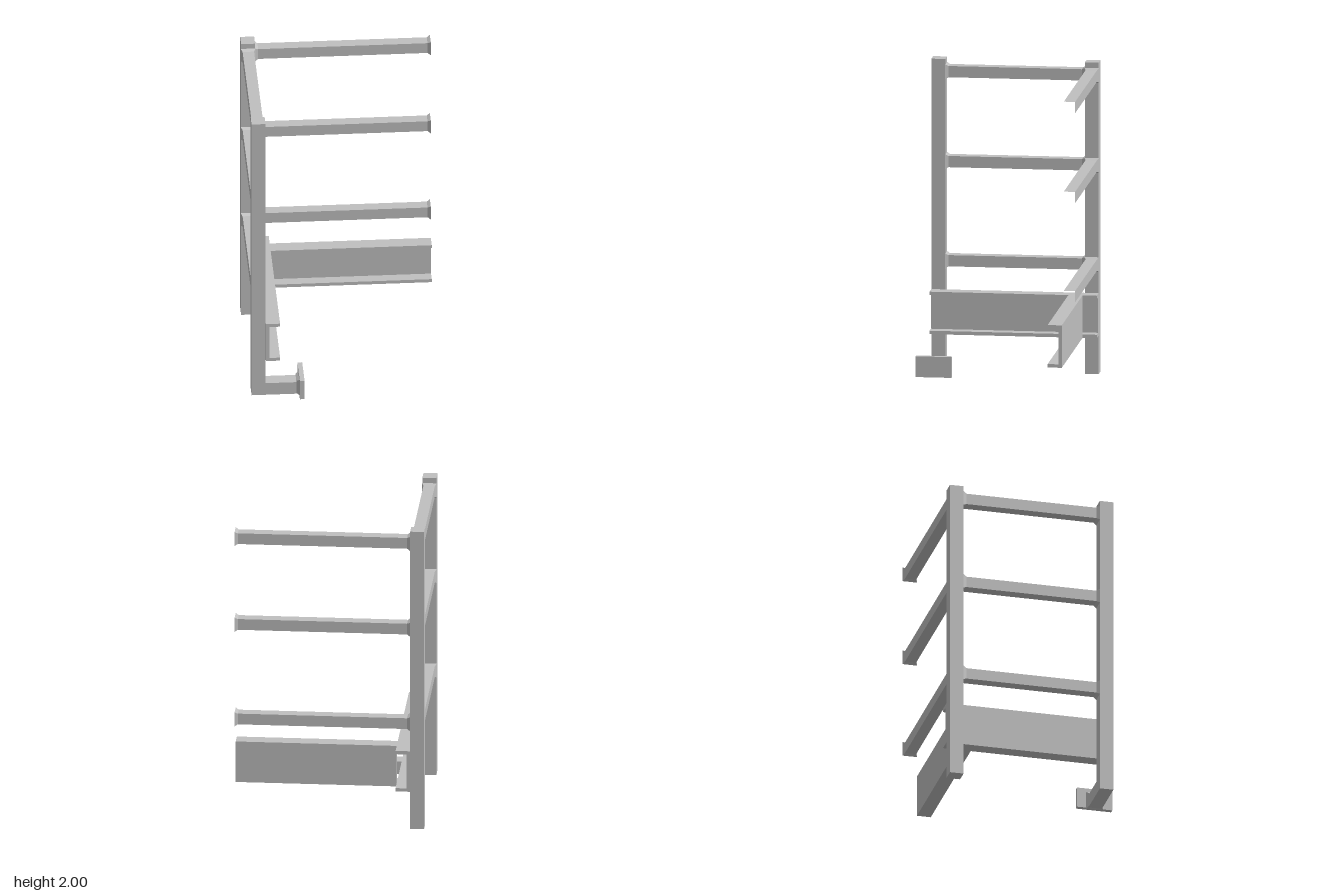
import * as THREE from 'three';

const steel = new THREE.MeshStandardMaterial({ color: 0xbfbfbf });
steel.name = 'grey steel';

function add(group, name, geometry, x = 0, y = 0, z = 0) {
  const mesh = new THREE.Mesh(geometry, steel);
  mesh.name = name;
  mesh.position.set(x, y, z);
  group.add(mesh);
  return mesh;
}

// Box given by its lower and upper limits on each axis
function block(group, name, [x0, x1], [y0, y1], [z0, z1]) {
  add(group, name, new THREE.BoxGeometry(x1 - x0, y1 - y0, z1 - z0),
    (x0 + x1) / 2, (y0 + y1) / 2, (z0 + z1) / 2);
}

// Open square tube along +y; profile holds [half width, distance] pairs
function squareTube(profile) {
  const points = profile.map(([half, d]) => new THREE.Vector2(half * Math.SQRT2, d));
  const geometry = new THREE.LatheGeometry(points, 4, Math.PI / 4).toNonIndexed();
  geometry.computeVertexNormals();
  return geometry;
}

// Square rail with a weld flare at each end
function railGeometry(length) {
  return squareTube([[0.047, 0], [0.036, 0.02], [0.036, length - 0.02], [0.047, length]]);
}

// C-channel along +z with its web at x = 0 and its flanges towards +x
function channelGeometry(length) {
  const depth = 0.09, bottom = 0.253, top = 0.525, t = 0.022;
  const shape = new THREE.Shape([
    [0, bottom], [depth, bottom], [depth, bottom + t], [t, bottom + t],
    [t, top - t], [depth, top - t], [depth, top], [0, top],
  ].map(([x, y]) => new THREE.Vector2(x, y)));
  return new THREE.ExtrudeGeometry(shape, { depth: length, bevelEnabled: false });
}

export function createModel() {
  const model = new THREE.Group();
  model.name = 'guardRailCorner';

  // Uprights
  block(model, 'backPost', [-0.6, -0.512], [0.005, 2], [-0.565, -0.477]);
  block(model, 'frontPost', [-0.6, -0.512], [0.005, 2], [0.408, 0.496]);

  // Three levels of rails running along the side and the back
  for (const y of [0.707, 1.342, 1.918]) {
    add(model, 'backRail', railGeometry(1.108).rotateZ(-Math.PI / 2), -0.512, y, -0.521);
    add(model, 'sideRail', railGeometry(0.885).rotateX(Math.PI / 2), -0.556, y, -0.477);
  }

  // Toe channels, open towards the inside of the corner
  add(model, 'sideChannel', channelGeometry(1.061), -0.51, 0, -0.565);
  add(model, 'backChannel', channelGeometry(1.016).rotateY(-Math.PI / 2), 0.596, 0, -0.475);

  // Foot arm, its weld flare and the mounting plate
  block(model, 'footArm', [-0.512, -0.3], [0.005, 0.09], [0.408, 0.496]);
  add(model, 'footFlare', squareTube([[0.043, 0], [0.056, 0.018]]).rotateZ(-Math.PI / 2),
    -0.318, 0.056, 0.452);
  block(model, 'footPlate', [-0.3, -0.27], [0.005, 0.138], [0.337, 0.565]);

  return model;
}
